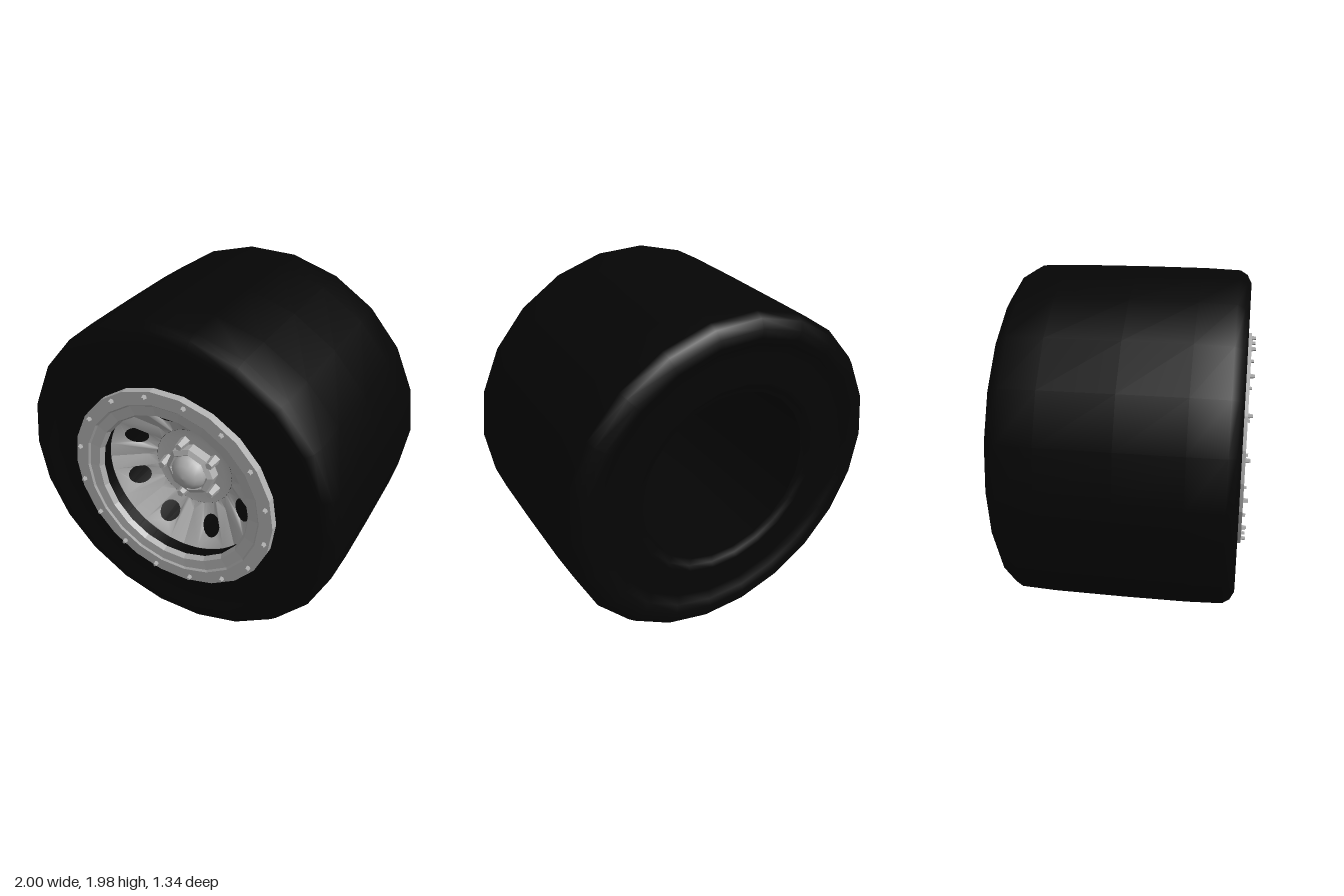
import * as THREE from 'three';

export function createModel() {
  const model = new THREE.Group();
  const wheel = new THREE.Group();
  wheel.name = 'wheel';
  wheel.position.y = 1;
  model.add(wheel);

  const rubber = new THREE.MeshStandardMaterial({ name: 'black rubber', color: 0x050505, side: THREE.DoubleSide });
  const metal = new THREE.MeshStandardMaterial({ name: 'grey metal', color: 0xb0b0b0, side: THREE.DoubleSide });
  const flatMetal = metal.clone();
  flatMetal.flatShading = true;

  function add(name, geometry, material, parent = wheel) {
    const mesh = new THREE.Mesh(geometry, material);
    mesh.name = name;
    parent.add(mesh);
    return mesh;
  }
  // Revolve [radius, z] pairs about the axle, first corner on the x axis
  const turn = (profile, sides) =>
    new THREE.LatheGeometry(profile.map(([r, z]) => new THREE.Vector2(r, z)), sides)
      .rotateX(Math.PI / 2).rotateZ(Math.PI / 2);

  // Wide tyre with recessed sidewalls
  add('tyre', turn([
    [0.54, -0.6], [0.58, -0.61], [0.6, -0.635], [0.78, -0.63], [0.83, -0.655], [0.87, -0.672], [0.92, -0.672],
    [0.965, -0.645], [0.99, -0.6], [0.998, -0.4], [1, 0], [0.998, 0.36], [0.99, 0.56], [0.965, 0.6],
    [0.92, 0.625], [0.87, 0.625], [0.83, 0.605], [0.78, 0.59], [0.6, 0.6], [0.54, 0.59],
  ], 22), rubber);
  add('innerBarrel', turn([[0.54, 0.59], [0.54, -0.6]], 32), rubber);

  // Clamping ring around the rim
  add('rimRing', turn([
    [0.635, 0.6], [0.635, 0.645], [0.555, 0.645], [0.545, 0.635], [0.485, 0.63], [0.47, 0.6],
  ], 22), flatMetal);

  // Ring bolts
  for (let i = 0; i < 16; i++) {
    const a = (i + 0.5) * Math.PI / 8;
    const bolt = add('ringBolt', new THREE.CylinderGeometry(0.01, 0.015, 0.03, 5).rotateX(Math.PI / 2), flatMetal);
    bolt.position.set(0.602 * Math.cos(a), 0.602 * Math.sin(a), 0.655);
  }

  // Bowl-shaped dish made of eight sectors, each with a round hole
  const half = Math.PI / 8;
  const sector = new THREE.Shape().absarc(0, 0, 0.485, -half, half);
  for (const r of [0.43, 0.375, 0.31]) sector.lineTo(r * Math.cos(half), r * Math.sin(half));
  sector.absarc(0, 0, 0.25, half, -half, true);
  for (const r of [0.31, 0.375, 0.43]) sector.lineTo(r * Math.cos(half), -r * Math.sin(half));
  sector.holes.push(new THREE.Path().absarc(0.375, 0, 0.06, 0, Math.PI * 2, true));
  const sectorGeometry = new THREE.ShapeGeometry(sector, 8);
  const points = sectorGeometry.attributes.position;
  const bowl = (r) => 0.37 + 1.8 * (r - 0.2) ** 2;
  for (let i = 0; i < points.count; i++) points.setZ(i, bowl(Math.hypot(points.getX(i), points.getY(i))));
  sectorGeometry.computeVertexNormals();
  for (let i = 0; i < 8; i++) add('dishSector', sectorGeometry, metal).rotation.z = (i + 0.5) * Math.PI / 4;
  add('dishCentre', turn([[0.25, bowl(0.25)], [0.2, 0.37], [0.1, 0.37]], 32), metal);

  // Hub collar with a domed cap
  add('hubCollar', turn([[0.16, 0.365], [0.155, 0.425], [0.125, 0.44], [0.11, 0.425]], 8), flatMetal);
  add('hubCap', turn([[0.115, 0.41], [0.105, 0.45], [0.075, 0.485], [0.04, 0.502], [0, 0.507]], 16), metal);

  // Five lug nuts
  for (let i = 0; i < 5; i++) {
    const a = Math.PI + i * Math.PI * 2 / 5;
    const nut = add('lugNut', new THREE.CylinderGeometry(0.022, 0.032, 0.08, 5).rotateX(Math.PI / 2), flatMetal);
    nut.position.set(0.175 * Math.cos(a), 0.175 * Math.sin(a), 0.41);
    nut.rotation.z = a;
  }

  return model;
}
